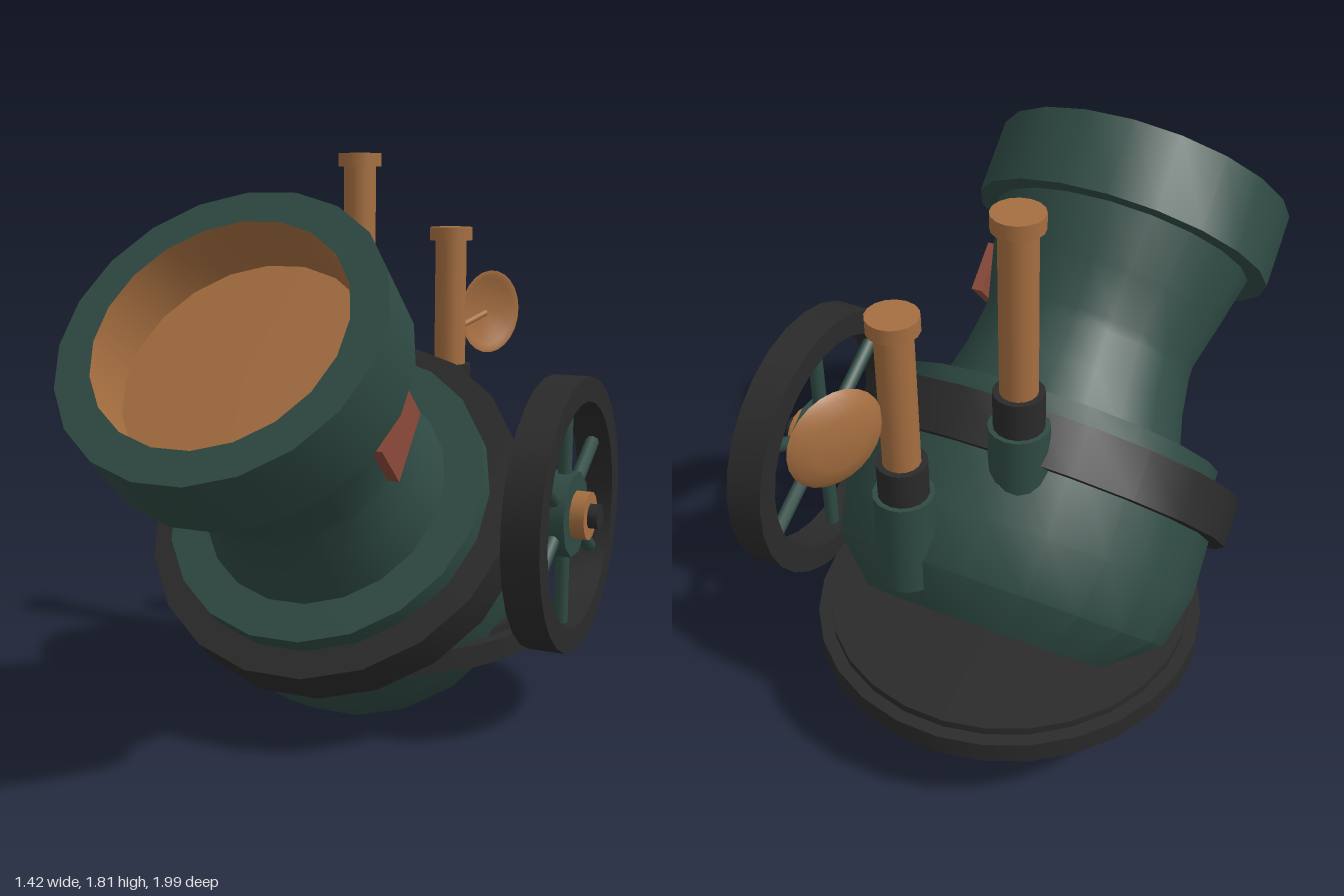
import * as THREE from 'three';
import { toCreasedNormals } from 'three/addons/utils/BufferGeometryUtils.js';

const paint = (name, color, side = THREE.FrontSide) => {
  const m = new THREE.MeshStandardMaterial({ color, side });
  m.name = name;
  return m;
};

export function createModel() {
  const green = paint('dark green', 0x2f4a43);
  const black = paint('soft black', 0x2a2a2a);
  const copper = paint('copper', 0xa56e40, THREE.DoubleSide);
  const red = paint('rust red', 0x8a4a3a);
  const model = new THREE.Group();
  model.name = 'mortar';

  const add = (parent, name, geometry, material, x = 0, y = 0, z = 0) => {
    const mesh = new THREE.Mesh(geometry, material);
    mesh.name = name;
    mesh.position.set(x, y, z);
    parent.add(mesh);
    return mesh;
  };
  // Turned part with flats on its sides; points run [radius, height]
  const turned = (points, sides = 20) => toCreasedNormals(
    new THREE.LatheGeometry(points.map(([r, h]) => new THREE.Vector2(r, h)), sides, Math.PI / sides), 0.6);
  // Upright cylinder between two heights
  const rod = (r, bottom, top, sides = 16) =>
    new THREE.CylinderGeometry(r, r, top - bottom, sides).translate(0, (top + bottom) / 2, 0);

  // Barrel, tilted; its local origin is the centre of the mouth
  const barrel = new THREE.Group();
  barrel.name = 'barrel';
  barrel.position.set(-0.1, 1.34, 0.68);
  barrel.rotation.x = 0.844;
  model.add(barrel);
  add(barrel, 'muzzleAndNeck', turned([
    [0.40, -0.86], [0.365, -0.72], [0.347, -0.60], [0.347, -0.56], [0.385, -0.41], [0.425, -0.24],
    [0.488, -0.24], [0.488, 0], [0.38, 0],
  ]), green);
  add(barrel, 'bore', turned([[0.38, 0], [0.38, -0.2], [0, -0.2]]), copper);
  add(barrel, 'flange', turned([[0.525, -0.95], [0.525, -0.855], [0.3, -0.855]]), green);
  add(barrel, 'band', turned([
    [0.5, -1.07], [0.615, -1.07], [0.615, -0.92], [0.5, -0.92],
  ]), black);
  add(barrel, 'breech', turned([
    [0, -1.54], [0.395, -1.54], [0.53, -1.42], [0.572, -1.25], [0.562, -1.0],
  ]), green);
  add(barrel, 'sidePanel', new THREE.BoxGeometry(0.035, 0.163, 0.233), red, 0.377, -0.457, 0);

  // Round base with a stepped top and a hollow underside
  add(model, 'base', turned([
    [0, 0.3], [0.54, 0.3], [0.54, 0.25], [0.605, 0.25], [0.605, 0.32],
    [0.565, 0.32], [0.565, 0.345], [0, 0.345],
  ], 28), black, -0.1, 0, -0.32);

  // Hand wheel, turned about the x axis
  const wheel = new THREE.Group();
  wheel.name = 'wheel';
  wheel.position.set(0, 0.695, -0.28);
  wheel.rotation.z = -Math.PI / 2;
  model.add(wheel);
  add(wheel, 'wheelRim', turned([
    [0.36, 0.53], [0.438, 0.53], [0.438, 0.65], [0.36, 0.65], [0.36, 0.53],
  ], 28), black);
  add(wheel, 'wheelHub', rod(0.137, 0.55, 0.63, 10), green);
  add(wheel, 'wheelBush', rod(0.077, 0.505, 0.677), copper);
  add(wheel, 'axle', rod(0.04, 0.3, 0.708, 12), black);
  for (let i = 0; i < 6; i++) {
    const spoke = add(wheel, 'spoke', rod(0.023, 0.05, 0.38, 8), green, 0, 0.59, 0);
    spoke.rotation.set(Math.PI / 2, 0, i * Math.PI / 3 + Math.PI / 2, 'YXZ');
    spoke.quaternion.setFromUnitVectors(
      new THREE.Vector3(0, 1, 0),
      new THREE.Vector3(Math.cos(i * Math.PI / 3), 0, Math.sin(i * Math.PI / 3)));
  }

  // Upright pipes, each with a socket, collar, shaft and cap
  const pipes = [
    { x: -0.21, z: -0.47, foot: 0.88, socket: 1.155, collar: 1.27, top: 1.82 },
    { x: 0.04, z: -0.685, foot: 0.68, socket: 0.985, collar: 1.095, top: 1.57 },
  ];
  for (const p of pipes) {
    const pipe = new THREE.Group();
    pipe.name = 'pipe';
    pipe.position.set(p.x, 0, p.z);
    model.add(pipe);
    add(pipe, 'pipeSocket', rod(0.088, p.foot, p.socket), green);
    add(pipe, 'pipeCollar', rod(0.073, p.socket, p.collar), black);
    add(pipe, 'pipeShaft', rod(0.054, p.collar, p.top - 0.04), copper);
    add(pipe, 'pipeCap', rod(0.073, p.top - 0.045, p.top), copper);
  }

  // Shallow dish on an arm from the shorter pipe
  const dish = add(model, 'dish', turned([
    [0, -0.018], [0.08, -0.012], [0.13, 0.002], [0.147, 0.018], [0.135, 0.018], [0.12, 0.01], [0, -0.008],
  ], 24), copper, 0.11, 1.265, -0.866);
  dish.quaternion.setFromUnitVectors(new THREE.Vector3(0, 1, 0), new THREE.Vector3(0.91, 0, 0.42).normalize());
  const arm = new THREE.LineCurve3(new THREE.Vector3(0.07, 1.225, -0.71), new THREE.Vector3(0.115, 1.262, -0.84));
  add(model, 'dishArm', new THREE.TubeGeometry(arm, 1, 0.011, 8), copper);

  return model;
}
